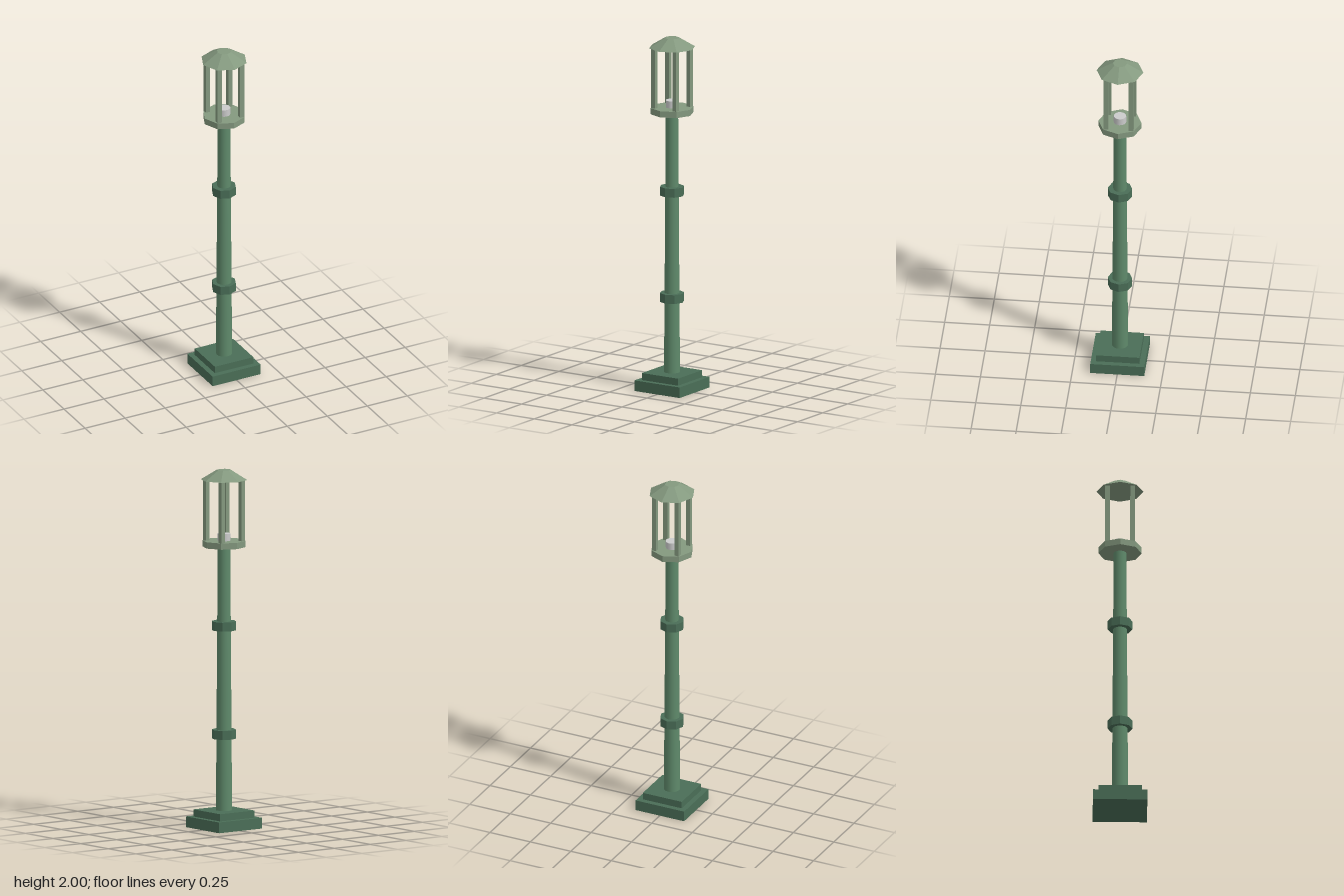
import * as THREE from 'three';

const darkGreen = new THREE.MeshStandardMaterial({ color: 0x4a6e57, flatShading: true });
const poleGreen = new THREE.MeshStandardMaterial({ color: 0x5f8a6b });
const paleGreen = new THREE.MeshStandardMaterial({ color: 0x84997f, flatShading: true });
const bulbGrey = new THREE.MeshStandardMaterial({ color: 0xcccccc });

export function createModel() {
  const lamp = new THREE.Group();
  lamp.name = 'streetLamp';

  const add = (name, geometry, material, x, y, z) => {
    const mesh = new THREE.Mesh(geometry, material);
    mesh.name = name;
    mesh.position.set(x, y, z);
    lamp.add(mesh);
  };
  // Square block and round section, both given by bottom and top heights
  const block = (name, width, y0, y1, material, x = 0, z = 0) =>
    add(name, new THREE.BoxGeometry(width, y1 - y0, width), material, x, (y0 + y1) / 2, z);
  const section = (name, rTop, rBottom, y0, y1, sides, material) =>
    add(name, new THREE.CylinderGeometry(rTop, rBottom, y1 - y0, sides), material, 0, (y0 + y1) / 2, 0);

  // Stepped square base
  block('lowerBase', 0.3, 0, 0.06, darkGreen);
  block('upperBase', 0.24, 0.06, 0.1, darkGreen);

  // Tapered pole with two octagonal collars
  section('pole', 0.035, 0.045, 0.1, 1.57, 16, poleGreen);
  section('lowerCollar', 0.068, 0.068, 0.5, 0.55, 8, darkGreen);
  section('upperCollar', 0.068, 0.068, 1.105, 1.155, 8, darkGreen);

  // Lantern: platform, bulb, four corner posts and roof
  section('lanternPlatform', 0.12, 0.12, 1.57, 1.605, 8, paleGreen);
  section('bulb', 0.035, 0.035, 1.605, 1.645, 16, bulbGrey);
  for (const x of [-0.07, 0.07]) {
    for (const z of [-0.07, 0.07]) block('lanternPost', 0.026, 1.605, 1.95, paleGreen, x, z);
  }
  section('roof', 0.04, 0.13, 1.945, 2, 8, paleGreen);

  return lamp;
}
